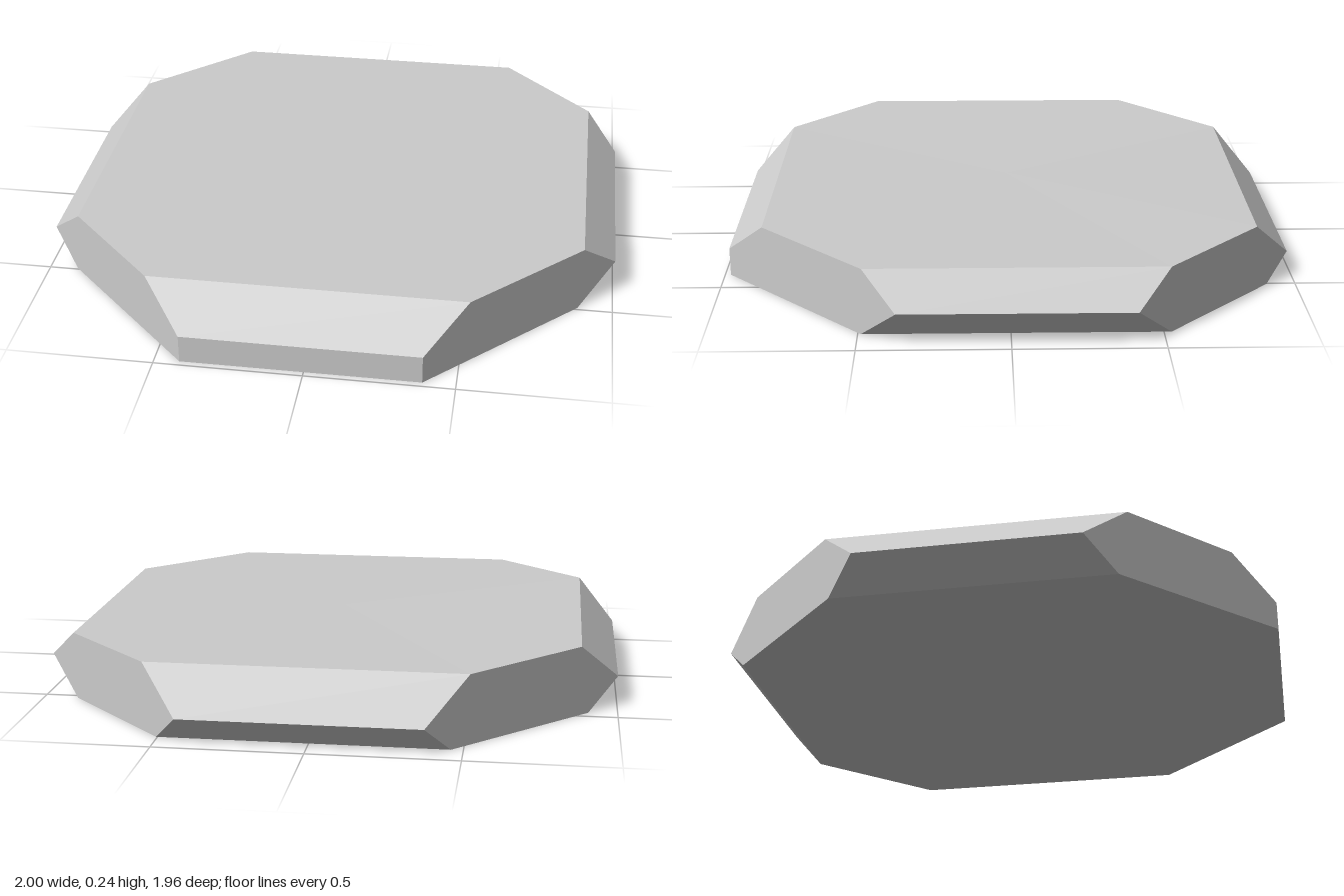
import * as THREE from 'three';

// Diagonal sides: |x| + |z| is constant on each corner cut
const CUT = { frontLeft: 1.37, backLeft: 1.405, backRight: 1.36, frontRight: 1.395 };

// Eight corners of one level, from the distance of its front, left, back and right sides.
// heights: y of the front, left, back and right side
function ring([f, l, b, r], [yf, yl, yb, yr]) {
  return [
    [f - CUT.frontRight, yf, f], [CUT.frontLeft - f, yf, f],
    [l, yl, CUT.frontLeft - l], [l, yl, l - CUT.backLeft],
    [CUT.backLeft - b, yb, -b], [b - CUT.backRight, yb, -b],
    [-r, yr, r - CUT.backRight], [-r, yr, CUT.frontRight - r],
  ];
}

export function createModel() {
  const group = new THREE.Group();
  group.name = 'octagonalSlab';

  // Underside, widest line and top
  const rings = [
    ring([0.98, 0.88, 0.9, 0.9], [0, 0, 0, 0]),
    ring([0.98, 1, 0.98, 1], [0.1, 0.125, 0.09, 0.105]),
    ring([0.843, 0.888, 0.845, 0.87], [0.235, 0.235, 0.238, 0.242]),
  ];

  const positions = [];
  const tri = (a, b, c) => positions.push(...a, ...b, ...c);
  const bottomCentre = [0, 0, 0];
  const topCentre = [0, 0.236, 0];

  for (let i = 0; i < 8; i++) {
    const j = (i + 1) % 8;
    // Lower and upper bevels
    for (let k = 0; k < 2; k++) {
      const low = rings[k], high = rings[k + 1];
      tri(low[i], low[j], high[j]);
      tri(low[i], high[j], high[i]);
    }
    // Flat faces
    tri(bottomCentre, rings[0][j], rings[0][i]);
    tri(topCentre, rings[2][i], rings[2][j]);
  }

  const geometry = new THREE.BufferGeometry();
  geometry.setAttribute('position', new THREE.Float32BufferAttribute(positions, 3));
  geometry.computeVertexNormals();

  const slab = new THREE.Mesh(
    geometry,
    new THREE.MeshStandardMaterial({ color: 0xcccccc, flatShading: true })
  );
  slab.name = 'bevelledSlab';
  group.add(slab);
  return group;
}
